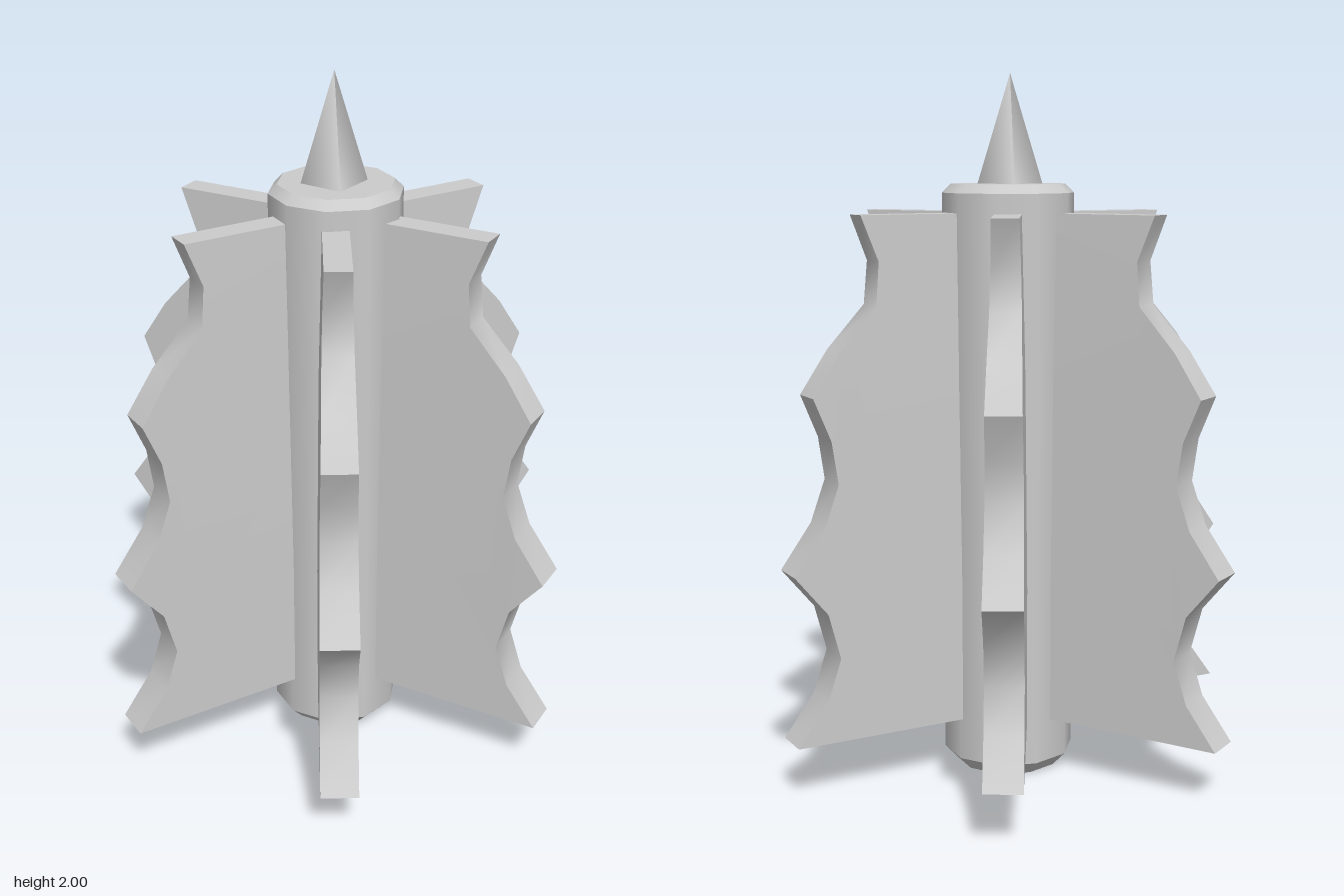
import * as THREE from 'three';
import { toCreasedNormals } from 'three/addons/utils/BufferGeometryUtils.js';

const material = new THREE.MeshStandardMaterial({ color: 0xcccccc });

// Scalloped outer edge of a fin: [radius, height], bottom to top
const EDGE = [
  [0.69, 0.16], [0.60, 0.28], [0.56, 0.40], [0.595, 0.53],
  [0.69, 0.645], [0.60, 0.77], [0.557, 0.89], [0.575, 1.01],
  [0.625, 1.13], [0.545, 1.25], [0.435, 1.37], [0.425, 1.49], [0.475, 1.615],
];
// Tooth tips, where the fin thickness is set
const TIPS = [0, 4, 8, 12].map((i) => EDGE[i]);

// Thickness is proportional to the tip radius and linear between tips
function thicknessAt(y) {
  for (let i = 0; i < TIPS.length - 1; i++) {
    const [r0, y0] = TIPS[i];
    const [r1, y1] = TIPS[i + 1];
    if (y <= y1 + 1e-4) return 0.155 * THREE.MathUtils.lerp(r0, r1, (y - y0) / (y1 - y0));
  }
  return 0.155 * TIPS[TIPS.length - 1][0];
}

function finGeometry() {
  const inner = TIPS.map(([, y]) => [0.05, y]).reverse();
  const shape = new THREE.Shape([...EDGE, ...inner].map(([x, y]) => new THREE.Vector2(x, y)));
  const geometry = new THREE.ExtrudeGeometry(shape, { depth: 1, bevelEnabled: false });
  geometry.translate(0, 0, -0.5);
  const p = geometry.attributes.position;
  for (let i = 0; i < p.count; i++) p.setZ(i, p.getZ(i) * thicknessAt(p.getY(i)));
  return toCreasedNormals(geometry, 0.77);
}

function add(parent, name, geometry) {
  const mesh = new THREE.Mesh(geometry, material);
  mesh.name = name;
  parent.add(mesh);
  return mesh;
}

export function createModel() {
  const model = new THREE.Group();
  model.name = 'finnedSpikePost';

  // Ten-sided shaft with chamfered ends
  const shaft = new THREE.Group();
  shaft.name = 'shaft';
  shaft.position.x = 0.006;
  shaft.rotation.y = -0.06;
  model.add(shaft);
  const section = (name, rTop, rBottom, y0, y1, open) =>
    add(shaft, name, new THREE.CylinderGeometry(rTop, rBottom, y1 - y0, 10, 1, open)
      .translate(0, (y0 + y1) / 2, 0));
  section('shaftBody', 0.188, 0.188, 0.04, 1.67, true);
  section('topChamfer', 0.163, 0.188, 1.67, 1.695, false);
  section('bottomChamfer', 0.188, 0.15, 0, 0.04, false);

  // Four-sided spike on top
  const spike = add(model, 'spike', new THREE.ConeGeometry(0.094, 0.31, 4));
  spike.position.y = 1.845;
  spike.rotation.y = 1.21;

  // Six fins around the shaft
  const fin = finGeometry();
  for (let i = 0; i < 6; i++) add(model, 'fin', fin).rotation.y = (i * Math.PI) / 3;

  return model;
}
